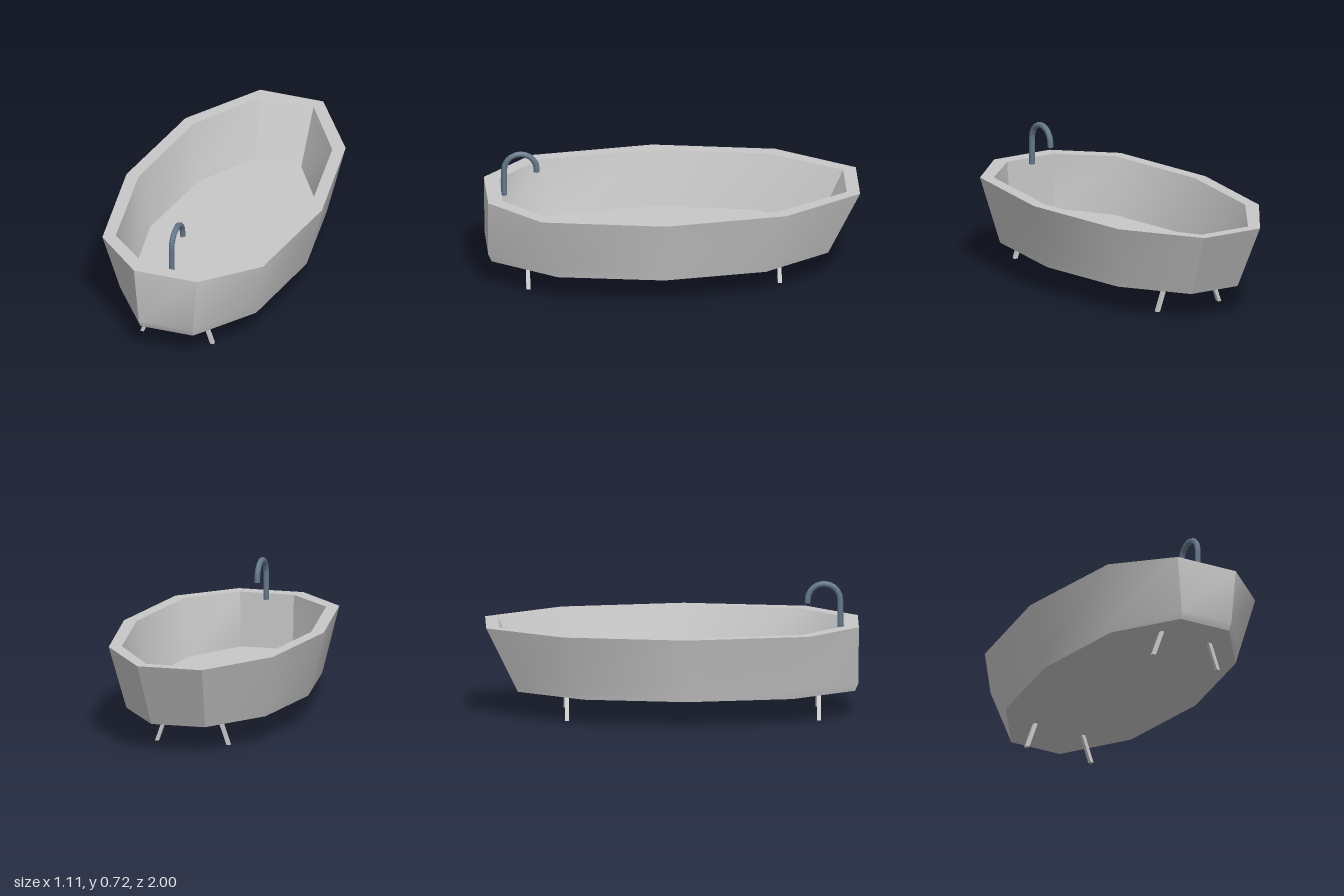
import * as THREE from 'three';
import { toCreasedNormals } from 'three/addons/utils/BufferGeometryUtils.js';

const ceramic = new THREE.MeshStandardMaterial({ color: 0xc8c8c8 });
ceramic.name = 'pale grey';
const metal = new THREE.MeshStandardMaterial({ color: 0x64788a });
metal.name = 'blue grey';

// Mirrors half an outline (x, z pairs, back to front) into a closed ring.
function ring(y, half) {
  const left = half.map(([x, z]) => [x, y, z]);
  const right = half.map(([x, z]) => [-x, y, z]).reverse();
  return [...left, ...right];
}

// Joins successive rings with walls and closes both ends.
function loft(rings) {
  const pos = [];
  const n = rings[0].length;
  for (let r = 0; r < rings.length - 1; r++) {
    const a = rings[r], b = rings[r + 1];
    for (let i = 0; i < n; i++) {
      const j = (i + 1) % n;
      pos.push(...a[i], ...b[i], ...a[j], ...a[j], ...b[i], ...b[j]);
    }
  }
  const first = rings[0], last = rings[rings.length - 1];
  for (let i = 0; i < n; i++) {
    const j = (i + 1) % n;
    pos.push(0, first[0][1], 0, ...first[i], ...first[j]);
    pos.push(0, last[0][1], 0, ...last[j], ...last[i]);
  }
  const g = new THREE.BufferGeometry();
  g.setAttribute('position', new THREE.Float32BufferAttribute(pos, 3));
  return toCreasedNormals(g, 0.7);
}

export function createModel() {
  const model = new THREE.Group();
  const add = (name, geometry, material) => {
    const mesh = new THREE.Mesh(geometry, material);
    mesh.name = name;
    model.add(mesh);
    return mesh;
  };

  // Tub: underside, outer wall, rim, inner wall and floor
  add('tub', loft([
    ring(0.148, [[0.15, -0.83], [0.388, -0.48], [0.47, 0.07], [0.388, 0.64], [0.15, 0.98]]),
    ring(0.19, [[0.154, -0.85], [0.396, -0.493], [0.48, 0.07], [0.396, 0.651], [0.154, 0.998]]),
    ring(0.5, [[0.18, -1], [0.457, -0.585], [0.557, 0.07], [0.457, 0.73], [0.18, 1]]),
    ring(0.5, [[0.15, -0.93], [0.395, -0.545], [0.487, 0.07], [0.395, 0.69], [0.15, 0.92]]),
    ring(0.2, [[0.13, -0.79], [0.337, -0.46], [0.42, 0.07], [0.337, 0.605], [0.145, 0.918]]),
  ]), ceramic);

  // Splayed legs with level ends
  for (const z of [0.785, -0.567]) {
    for (const side of [1, -1]) {
      const g = new THREE.BoxGeometry(0.02, 0.15, 0.022);
      const p = g.attributes.position;
      for (let i = 0; i < p.count; i++) p.setX(i, p.getX(i) - side * p.getY(i) * 0.35);
      g.computeVertexNormals();
      add((z > 0 ? 'front' : 'back') + (side > 0 ? 'Left' : 'Right') + 'Leg', g, ceramic)
        .position.set(side * 0.173 - 0.008, 0.075, z);
    }
  }

  // Faucet: upright pipe with a hooked spout
  const path = new THREE.CurvePath();
  const points = [[0.47, 0.903], [0.55, 0.903]];
  for (let i = 0; i <= 10; i++) {
    const a = (Math.PI * i) / 10;
    points.push([0.617 + 0.0875 * Math.sin(a), 0.8155 + 0.0875 * Math.cos(a)]);
  }
  points.push([0.6, 0.728]);
  const v = points.map(([y, z]) => new THREE.Vector3(0, y, z));
  for (let i = 1; i < v.length; i++) path.add(new THREE.LineCurve3(v[i - 1], v[i]));
  const radius = 0.016;
  add('faucet', new THREE.TubeGeometry(path, 40, radius, 8), metal);
  const spoutEnd = add('spoutEnd', new THREE.CircleGeometry(radius, 8), metal);
  spoutEnd.rotation.x = Math.PI / 2;
  spoutEnd.position.copy(v[v.length - 1]);
  const pipeEnd = add('pipeEnd', new THREE.CircleGeometry(radius, 8), metal);
  pipeEnd.rotation.x = Math.PI / 2;
  pipeEnd.position.copy(v[0]);

  // Drain plate on the floor
  const drain = add('drain', new THREE.CylinderGeometry(0.047, 0.047, 0.006, 10), metal);
  drain.scale.z = 1.08;
  drain.position.set(-0.004, 0.2, 0.54);

  return model;
}
